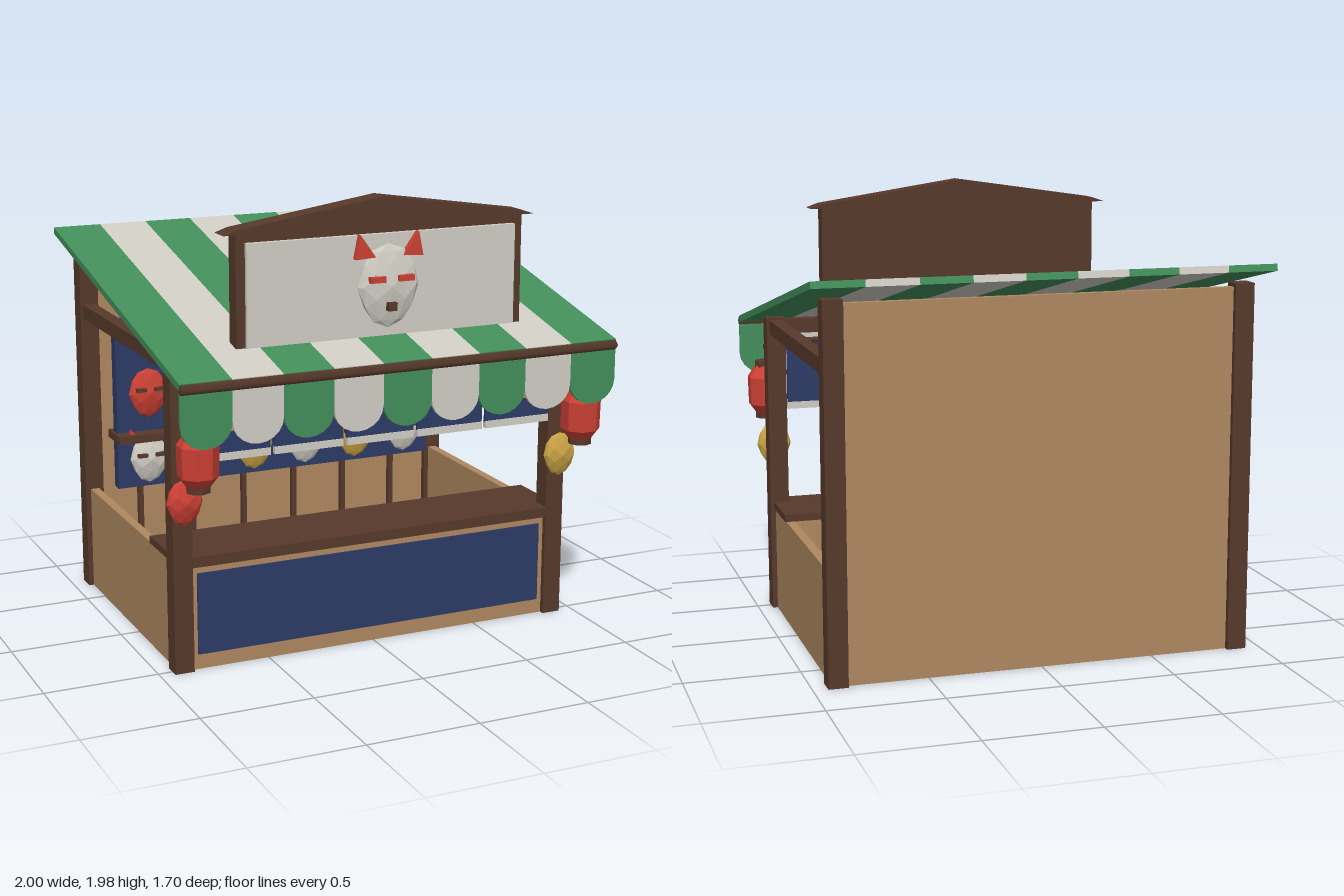
import * as THREE from 'three';

const paint = (name, color) => {
  const m = new THREE.MeshStandardMaterial({ color });
  m.name = name;
  return m;
};

export function createModel() {
  const root = new THREE.Group();
  root.name = 'festivalStall';
  const darkWood = paint('dark wood', 0x57392b);
  const tanWood = paint('tan wood', 0xae8860);
  const green = paint('awning green', 0x438f5b);
  const cream = paint('cream', 0xd0cdc4);
  const navy = paint('navy', 0x2c3a66);
  const red = paint('red', 0xcc4034);
  const gold = paint('gold', 0xc9a244);

  const add = (name, geo, mat, x = 0, y = 0, z = 0, parent = root) => {
    const mesh = new THREE.Mesh(geo, mat);
    mesh.name = name;
    mesh.position.set(x, y, z);
    parent.add(mesh);
    return mesh;
  };
  // Box given by its limits on each axis
  const box = (name, mat, x0, x1, y0, y1, z0, z1, parent = root) =>
    add(name, new THREE.BoxGeometry(x1 - x0, y1 - y0, z1 - z0), mat,
      (x0 + x1) / 2, (y0 + y1) / 2, (z0 + z1) / 2, parent);
  const flat = (geo) => {
    const g = geo.index ? geo.toNonIndexed() : geo;
    g.computeVertexNormals();
    return g;
  };
  const plate = (pts, depth) => {
    const shape = new THREE.Shape(pts.map(([x, y]) => new THREE.Vector2(x, y)));
    return new THREE.ExtrudeGeometry(shape, { depth, bevelEnabled: false });
  };
  // Horizontal rod along x
  const rod = (name, r, length, sides, y, z) => {
    const m = add(name, new THREE.CylinderGeometry(r, r, length, sides), darkWood, 0, y, z);
    m.rotation.z = Math.PI / 2;
  };

  // Frame and side panels
  for (const s of [-1, 1]) {
    const side = new THREE.Group();
    side.name = s > 0 ? 'leftFrame' : 'rightFrame';
    root.add(side);
    const c = s * 0.893;
    box('frontPost', darkWood, c - 0.043, c + 0.043, 0, 1.375, 0.453, 0.538, side);
    box('backPost', darkWood, c - 0.043, c + 0.043, 0, 1.617, -0.758, -0.672, side);
    box('sideBeam', darkWood, c - 0.03, c + 0.03, 1.3, 1.365, -0.68, 0.46, side);
    box('sidePanel', tanWood, c - 0.02, c + 0.02, 0, 0.478, -0.68, 0.46, side);
  }
  box('frontBeam', darkWood, -0.86, 0.86, 1.3, 1.365, 0.465, 0.525);

  // Counter
  box('counterFront', tanWood, -0.86, 0.86, 0, 0.47, 0.48, 0.515);
  box('counterCloth', navy, -0.825, 0.825, 0.068, 0.43, 0.515, 0.524);
  box('counterTop', darkWood, -0.92, 0.92, 0.478, 0.51, 0.19, 0.536);
  box('counterTrim', darkWood, -0.852, 0.852, 0.465, 0.511, 0.5, 0.543);

  // Back wall with battens, display cloth and shelf
  box('backWall', tanWood, -0.86, 0.86, 0, 1.6, -0.735, -0.7);
  box('displayBoard', navy, -0.807, 0.807, 0.493, 1.3, -0.627, -0.572);
  box('shelf', darkWood, -0.82, 0.82, 0.725, 0.762, -0.67, -0.5);
  const columns = [-0.663, -0.398, -0.133, 0.133, 0.398, 0.663];
  for (const x of columns) box('batten', darkWood, x - 0.012, x + 0.012, 0, 1.58, -0.7, -0.675);

  // Sloped striped roof with matching scallops
  const slope = 0.2176, w = 2 / 9;
  const scallop = [[-w / 2, 0.24], [w / 2, 0.24]];
  for (let i = 0; i <= 10; i++) {
    const a = (i / 10) * Math.PI;
    scallop.push([Math.cos(a) * w / 2, 0.1 - 0.1 * Math.sin(a)]);
  }
  for (let i = 0; i < 9; i++) {
    const x = (i - 4) * w, mat = i % 2 ? cream : green;
    add('roofStripe', new THREE.BoxGeometry(w, 0.03, 1.71), mat, x, 1.507, -0.007).rotation.x = slope;
    add('scallop', plate(scallop, 0.014), mat, x, 1.06, 0.817);
  }
  rod('awningRod', 0.024, 2, 4, 1.312, 0.828);

  // Sign board with gable
  box('signBack', darkWood, -0.66, 0.66, 1.345, 1.87, 0.507, 0.575);
  box('signFace', cream, -0.62, 0.62, 1.397, 1.83, 0.575, 0.6);
  for (const s of [-1, 1]) box('signEdge', darkWood, s * 0.64 - 0.02, s * 0.64 + 0.02, 1.395, 1.87, 0.57, 0.583);
  add('signGable', plate([[-0.715, 1.866], [0.715, 1.866], [0.66, 1.885], [0, 1.984], [-0.66, 1.885]], 0.1),
    darkWood, 0, 0, 0.49);

  // Faceted mask: a low-poly ball flattened and thinned towards top and bottom
  const maskGeo = (rx, ry, rz) => {
    const g = new THREE.IcosahedronGeometry(1, 1), p = g.attributes.position;
    for (let i = 0; i < p.count; i++) {
      const y = p.getY(i);
      const taper = y < 0 ? 1 + 0.15 * y : 1;
      p.setXYZ(i, p.getX(i) * rx * taper, y * ry, p.getZ(i) * rz * (1 - 0.5 * Math.abs(y)));
    }
    return flat(g);
  };
  const earPts = (k) => [[0.064, 0.125], [0.155, 0.12], [0.134, 0.222]].map(([x, y]) => [x * k, y * k]);
  const mask = (name, mat, x, y, z, k, { eyes = darkWood, ears = false, nose = false, depth = 0.036 } = {}) => {
    const g = new THREE.Group();
    g.name = name;
    g.position.set(x, y, z);
    root.add(g);
    add('face', maskGeo(0.142 * k, 0.178 * k, depth), mat, 0, 0, 0, g);
    for (const s of [-1, 1]) {
      if (eyes) box('eye', eyes, s * 0.065 * k - 0.035 * k, s * 0.065 * k + 0.035 * k,
        0.022 * k, 0.047 * k, depth * 0.5, depth * 1.2, g);
      if (ears) {
        const pts = earPts(k).map(([px, py]) => [px * s, py]);
        add('ear', plate(pts, 0.03), red, 0, 0, -0.013, g);
      }
    }
    if (nose) box('nose', darkWood, -0.02, 0.02, -0.1, -0.065, depth * 0.5, depth * 1.3, g);
    return g;
  };
  mask('signMask', cream, 0, 1.617, 0.635, 1, { eyes: red, ears: true, nose: true, depth: 0.04 });

  // Masks on display in two rows
  const lower = [cream, red, gold, cream, gold, cream];
  const upper = [red, cream, cream, gold, cream, red];
  columns.forEach((x, i) => {
    mask('lowerMask', lower[i], x, 0.637, -0.54, 0.66, { ears: i % 3 === 0 });
    mask('upperMask', upper[i], x, 0.952, -0.54, 0.66);
  });
  // Plain masks hung on the front posts
  mask('rightPostMask', red, -0.893, 0.765, 0.568, 0.56, { eyes: null });
  mask('leftPostMask', gold, 0.893, 0.765, 0.568, 0.56, { eyes: null });

  // Short divided curtain
  rod('curtainRod', 0.013, 1.72, 6, 1.25, 0.567);
  for (let i = -2; i <= 2; i++) {
    const x = i / 3;
    box('curtainPanel', navy, x - 0.158, x + 0.158, 0.955, 1.24, 0.56, 0.574);
    box('curtainHem', cream, x - 0.158, x + 0.158, 0.928, 0.96, 0.556, 0.578);
    if (i) {
      const r = Math.abs(i) === 2 ? 0.085 : 0.055;
      const dot = add('curtainDot', new THREE.CylinderGeometry(r, r, 0.006, 12), gold,
        x + (Math.abs(i) === 2 ? Math.sign(i) * 0.04 : 0), 1.13, 0.577);
      dot.rotation.x = Math.PI / 2;
    }
  }

  // Hanging lanterns
  const body = [[0.05, -0.115], [0.085, -0.07], [0.088, 0.06], [0.05, 0.115]].map(([r, y]) => new THREE.Vector2(r, y));
  for (const s of [-1, 1]) {
    const g = new THREE.Group();
    g.name = s > 0 ? 'leftLantern' : 'rightLantern';
    g.position.set(s * 0.893, 0.997, 0.737);
    root.add(g);
    add('lanternBody', flat(new THREE.LatheGeometry(body, 8)), red, 0, 0, 0, g).rotation.y = Math.PI / 8;
    for (const y of [-0.122, 0.122])
      add('lanternCap', flat(new THREE.CylinderGeometry(0.052, 0.052, 0.03, 8)), darkWood, 0, y, 0, g);
    box('lanternArm', darkWood, -0.01, 0.01, 0.193, 0.213, -0.22, 0.005, g);
    box('lanternCord', darkWood, -0.005, 0.005, 0.13, 0.2, -0.005, 0.005, g);
  }
  return root;
}
